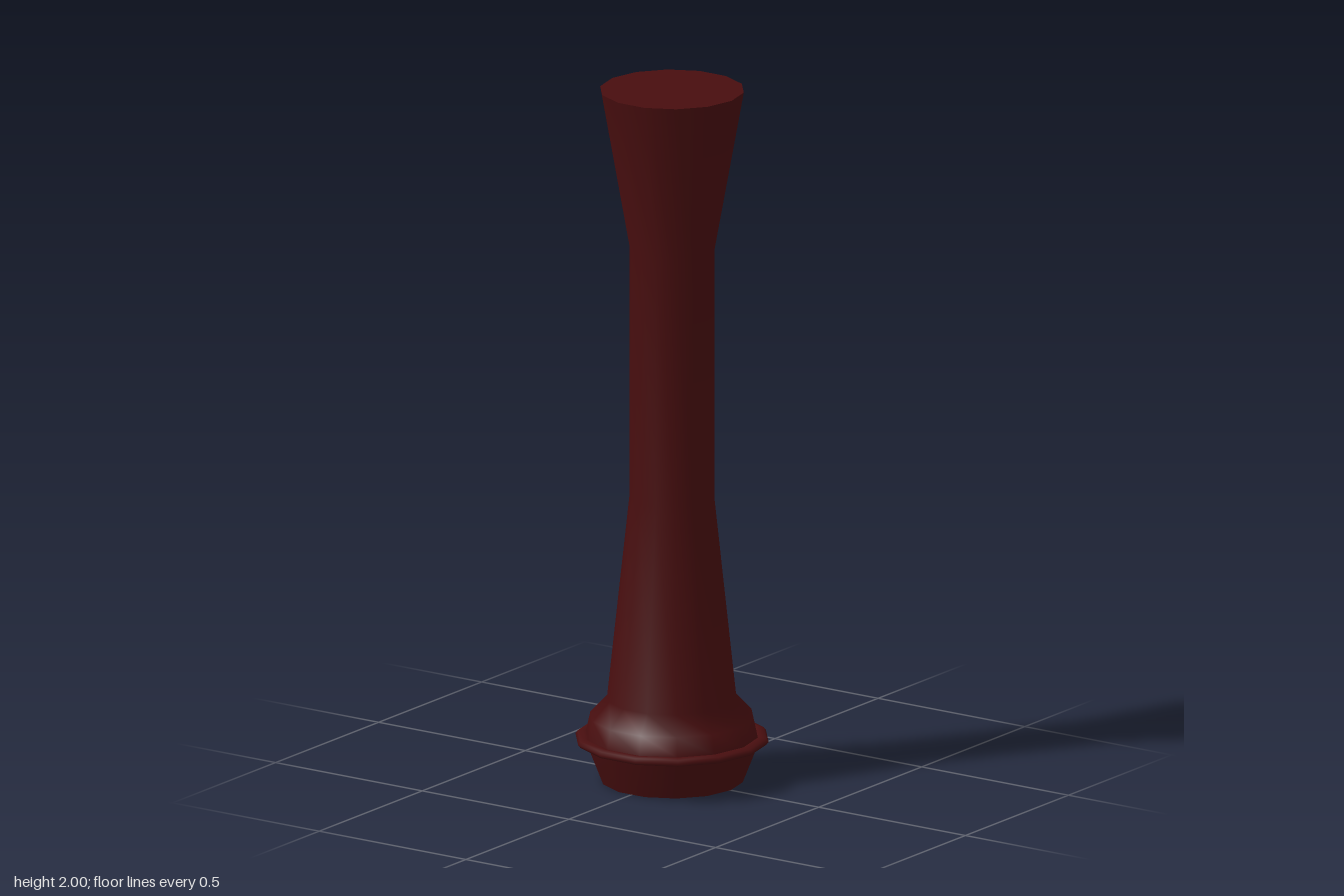
import * as THREE from 'three';

const SIDES = 14;

export function createModel() {
  const group = new THREE.Group();
  const material = new THREE.MeshStandardMaterial({ color: 0x480e0f, side: THREE.DoubleSide });

  const add = (name, geometry) => {
    const mesh = new THREE.Mesh(geometry, material);
    mesh.name = name;
    group.add(mesh);
    return mesh;
  };

  // Turned shell with an open foot: base cup, shoulder, waist and flared end
  const profile = [
    [0.2, 0], [0.243, 0.11], [0.243, 0.13], [0.231, 0.185],
    [0.183, 0.237], [0.12, 0.82], [0.12, 1.54], [0.203, 2],
  ].map(([r, y]) => new THREE.Vector2(r, y));
  add('body', new THREE.LatheGeometry(profile, SIDES, Math.PI / 2));

  // Flat end disc
  const cap = add('topCap', new THREE.CircleGeometry(0.203, SIDES));
  cap.rotation.x = -Math.PI / 2;
  cap.position.y = 2;

  // Thin flattened ring around the base cup
  const ring = add('baseRing', new THREE.TorusGeometry(0.25, 0.023, 8, SIDES));
  ring.rotation.x = Math.PI / 2;
  ring.scale.z = 0.55;
  ring.position.y = 0.12;

  return group;
}
